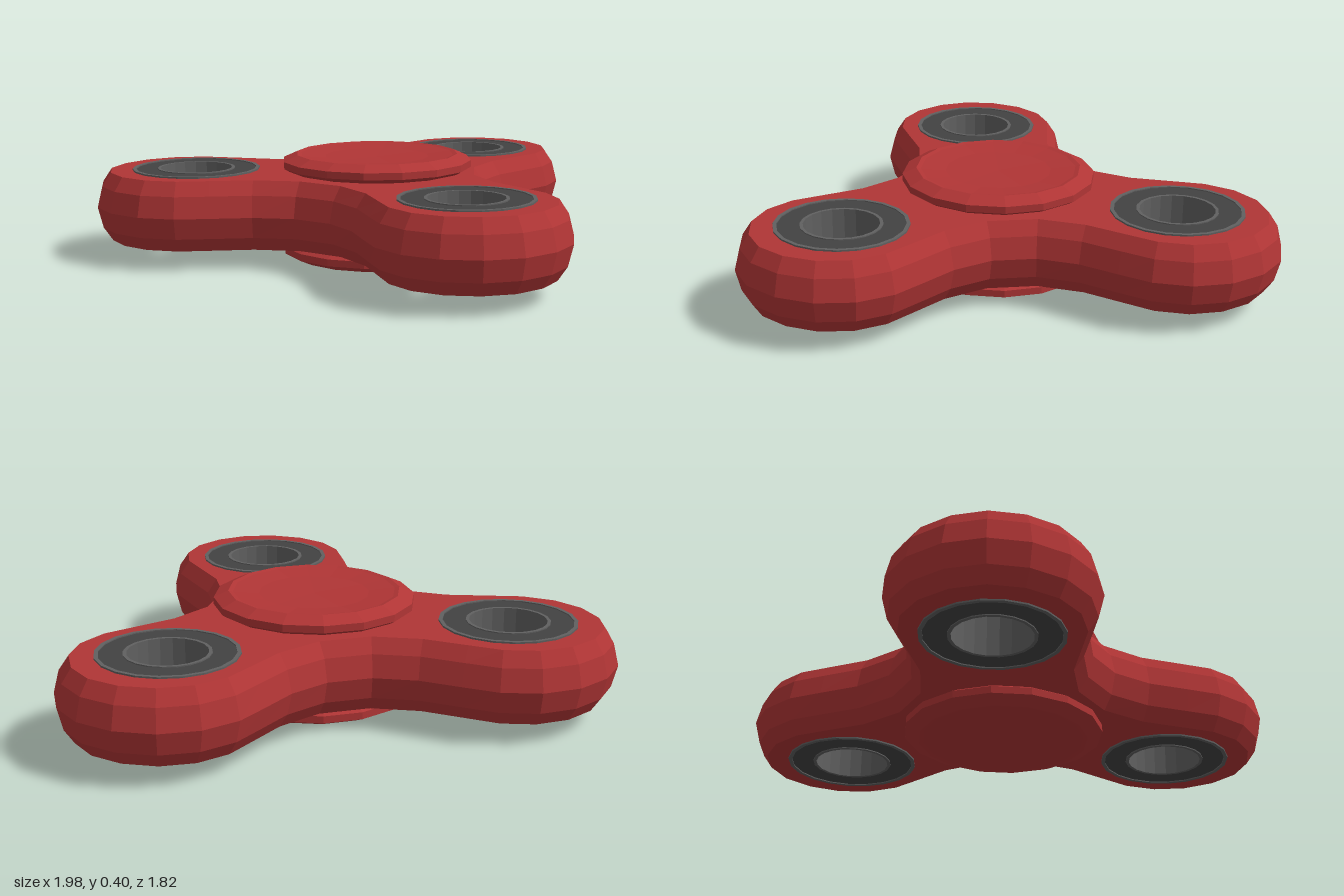
import * as THREE from 'three';

const HUB_Z = -0.185;      // hub centre, so that the whole is centred
const ARM = 0.705;         // hub centre to bearing centre
const MID_Y = 0.203;
const ARM_ANGLES = [-90, 30, 150].map(THREE.MathUtils.degToRad);

const red = new THREE.MeshStandardMaterial({ color: 0xb03535, flatShading: true });
const dark = new THREE.MeshStandardMaterial({ color: 0x424242, flatShading: true });
const steel = new THREE.MeshStandardMaterial({ color: 0x606060, flatShading: true });

// Half an arm: distance along the arm, distance to its side
const HALF_ARM = [[0.285, 0.332], [0.442, 0.318], [0.595, 0.345], [0.725, 0.366],
  [0.865, 0.34], [0.985, 0.26], [1.065, 0.14]];

// Three-armed outline, counter-clockwise seen from above, y = -z
function bodyOutline() {
  const arm = [
    ...HALF_ARM.map(([u, v]) => [u, -v]),
    [1.095, 0],
    ...HALF_ARM.slice().reverse(),
  ];
  return ARM_ANGLES.flatMap((a) => arm.map(([u, v]) =>
    new THREE.Vector2(u, v).rotateAround(new THREE.Vector2(), a)));
}

// Moves every outline point inwards along its normal
function inset(points, d) {
  const n = points.length;
  return points.map((p, i) => {
    const t = points[(i + 1) % n].clone().sub(points[(i + n - 1) % n]).normalize();
    return new THREE.Vector2(p.x - t.y * d, p.y + t.x * d);
  });
}

// Rounded wall through stacked outlines
function wallGeometry(outline, levels) {
  const n = outline.length;
  const positions = [];
  const index = [];
  for (const [y, d] of levels) {
    for (const p of inset(outline, d)) positions.push(p.x, y, -p.y);
  }
  for (let l = 0; l < levels.length - 1; l++) {
    for (let i = 0; i < n; i++) {
      const a = l * n + i;
      const b = l * n + (i + 1) % n;
      index.push(a, b, b + n, a, b + n, a + n);
    }
  }
  const geometry = new THREE.BufferGeometry();
  geometry.setAttribute('position', new THREE.Float32BufferAttribute(positions, 3));
  geometry.setIndex(index);
  geometry.computeVertexNormals();
  return geometry;
}

// Flat plate with bearing holes; side is 1 for the top, -1 for the underside
function plateGeometry(outline, side) {
  const shape = new THREE.Shape(outline.map((p) => new THREE.Vector2(p.x, p.y * side)));
  for (const a of ARM_ANGLES) {
    const hole = new THREE.Path();
    hole.absarc(ARM * Math.cos(a), ARM * Math.sin(a) * side, 0.24, 0, Math.PI * 2, true);
    shape.holes.push(hole);
  }
  return new THREE.ShapeGeometry(shape, 10).rotateX(-side * Math.PI / 2);
}

function addMesh(parent, name, geometry, material) {
  const mesh = new THREE.Mesh(geometry, material);
  mesh.name = name;
  parent.add(mesh);
  return mesh;
}

// Closed ring of rectangular section, centred on y = 0
function ringGeometry(inner, outer, halfHeight) {
  const section = [[outer, -halfHeight], [outer, halfHeight], [inner, halfHeight],
    [inner, -halfHeight], [outer, -halfHeight]];
  return new THREE.LatheGeometry(section.map((p) => new THREE.Vector2(...p)), 20);
}

function createBearing() {
  const bearing = new THREE.Group();
  bearing.name = 'bearing';
  addMesh(bearing, 'outerRace', ringGeometry(0.232, 0.246, 0.138), steel);
  addMesh(bearing, 'shield', ringGeometry(0.148, 0.234, 0.134), dark);
  addMesh(bearing, 'innerRace', ringGeometry(0.138, 0.15, 0.138), steel);
  return bearing;
}

export function createModel() {
  const model = new THREE.Group();
  model.name = 'spinner';
  const spinner = new THREE.Group();
  spinner.name = 'spinnerAssembly';
  spinner.position.set(0, MID_Y, HUB_Z);
  model.add(spinner);

  // Three-armed body
  const body = new THREE.Group();
  body.name = 'body';
  spinner.add(body);
  const outline = bodyOutline();
  const levels = [[-0.132, 0.055], [-0.08, 0.02], [0, 0], [0.08, 0.02], [0.132, 0.055]];
  addMesh(body, 'bodyWall', wallGeometry(outline, levels), red);
  const rim = inset(outline, 0.055);
  addMesh(body, 'bodyTop', plateGeometry(rim, 1), red).position.y = 0.132;
  addMesh(body, 'bodyUnderside', plateGeometry(rim, -1), red).position.y = -0.132;

  // One bearing in each arm
  for (const a of ARM_ANGLES) {
    const bearing = createBearing();
    bearing.position.set(ARM * Math.cos(a), 0, -ARM * Math.sin(a));
    spinner.add(bearing);
  }

  // Dished finger caps above and below the hub
  const capProfile = [[0.3, 0.128], [0.345, 0.14], [0.365, 0.152], [0.365, 0.178],
    [0.312, 0.202], [0.295, 0.198], [0.2, 0.189], [0, 0.186]];
  const capGeometry = new THREE.LatheGeometry(
    capProfile.map((p) => new THREE.Vector2(...p)), 16, Math.PI / 16);
  addMesh(spinner, 'topCap', capGeometry, red);
  addMesh(spinner, 'bottomCap', capGeometry, red).rotation.z = Math.PI;

  return model;
}
